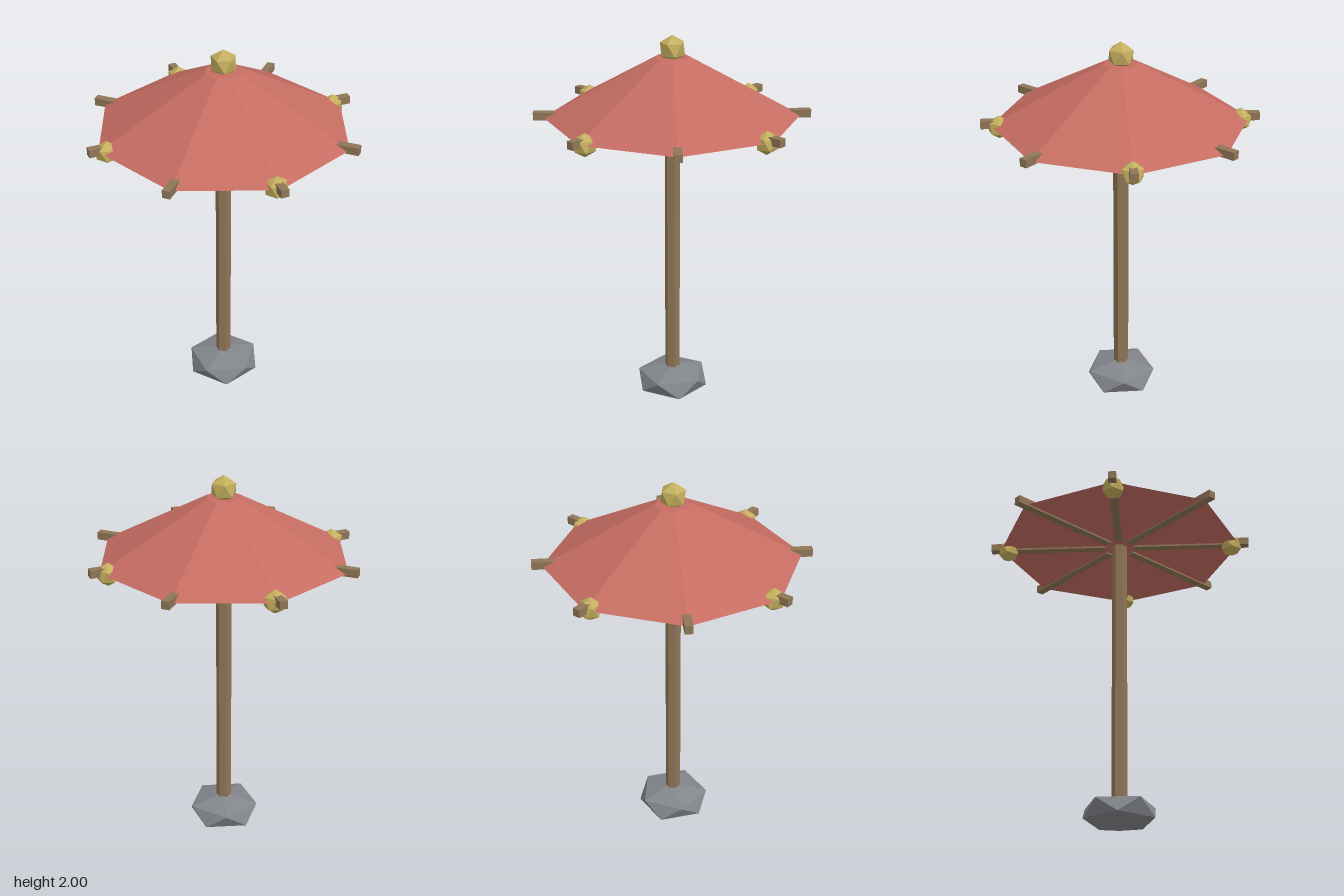
import * as THREE from 'three';

const material = (name, color) => {
  const m = new THREE.MeshStandardMaterial({ color, flatShading: true });
  m.name = name;
  return m;
};

export function createModel() {
  const wood = material('wood', 0x8f7657);
  const cloth = material('canopyRed', 0xc66d62);
  const gold = material('gold', 0xc4ae5e);
  const stone = material('stone', 0x82858a);

  const model = new THREE.Group();
  model.name = 'parasol';

  const add = (name, geometry, mat, x = 0, y = 0, z = 0) => {
    const mesh = new THREE.Mesh(geometry, mat);
    mesh.name = name;
    mesh.position.set(x, y, z);
    model.add(mesh);
    return mesh;
  };

  // Icosahedron turned so that one corner points straight up
  const gem = (radius) =>
    new THREE.IcosahedronGeometry(radius, 0).rotateZ(-Math.atan(2 / (1 + Math.sqrt(5))));

  // Squashed stone foot
  add('baseStone', gem(0.208).scale(1, 0.088 / 0.208, 1), stone, 0, 0.088, 0);

  // Hexagonal pole
  add('pole', new THREE.CylinderGeometry(0.04, 0.04, 1.5, 6), wood, 0, 0.85, 0);

  // Eight-sided canopy with a closed underside
  add('canopy', new THREE.CylinderGeometry(0.09, 0.65, 0.303, 8), cloth, 0, 1.7365, 0);

  // Ribs under every corner of the canopy
  const ribGeometry = new THREE.BoxGeometry(0.62, 0.04, 0.04).translate(0.39, 0, 0);
  for (let i = 0; i < 8; i++) {
    add('rib', ribGeometry, wood, 0, 1.595, 0).rotation.y = (i * Math.PI) / 4;
  }

  // Lanterns on every second rib
  const lanternGeometry = gem(0.06);
  for (let i = 0; i < 4; i++) {
    const a = (i * Math.PI) / 2;
    add('lantern', lanternGeometry, gold, Math.cos(a) * 0.607, 1.577, Math.sin(a) * 0.607);
  }

  // Finial on top
  add('finial', gem(0.07), gold, 0, 1.93, 0);

  return model;
}
